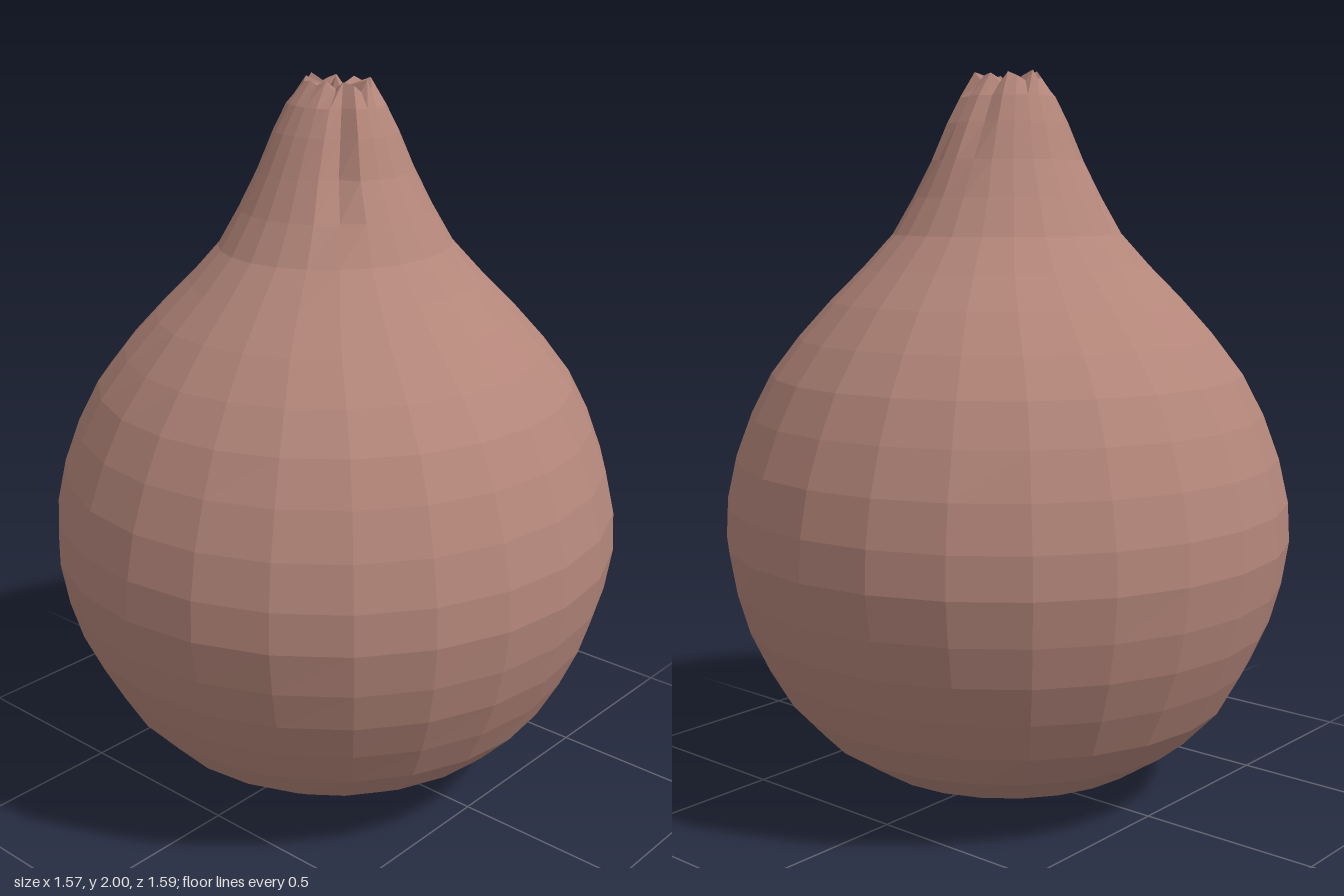
import * as THREE from 'three';

const SIDES = 24;

// Rings from base to tip: [height, half width in x, half depth in z]
const RINGS = [
  [0.005, 0.13, 0.13], [0.02, 0.24, 0.24], [0.08, 0.4, 0.4], [0.17, 0.535, 0.535],
  [0.27, 0.63, 0.625], [0.38, 0.69, 0.69], [0.49, 0.738, 0.742], [0.6, 0.768, 0.775],
  [0.72, 0.786, 0.796], [0.83, 0.78, 0.79], [0.95, 0.752, 0.764], [1.07, 0.708, 0.718],
  [1.18, 0.65, 0.662], [1.28, 0.57, 0.59], [1.38, 0.475, 0.505], [1.47, 0.385, 0.415],
  [1.56, 0.308, 0.328], [1.66, 0.255, 0.265], [1.76, 0.205, 0.213], [1.86, 0.17, 0.162],
  [1.93, 0.14, 0.12], [1.982, 0.107, 0.072],
];

// Creases running down the neck: [side index, depth, lowest height]
const CREASES = [[3, 0.2, 1.6], [10, 0.16, 1.7], [13, 0.12, 1.7], [20, 0.16, 1.6]];

function surfacePoint(ring, side) {
  const [y, rx, rz] = RINGS[ring];
  const a = (side / SIDES) * Math.PI * 2;
  let k = 1;
  for (const [s, depth, low] of CREASES) {
    if (s === side && y > low) k -= depth * Math.min(1, (y - low) / 0.2);
  }
  // Uneven, puckered rim at the tip
  const rim = ring === RINGS.length - 1;
  const lift = rim ? 0.016 * Math.sin(side * 2.3) : 0;
  return [Math.sin(a) * rx * k, y + lift, Math.cos(a) * rz * k];
}

// Closed skin made from the stacked rings
function bulbGeometry() {
  const positions = [];
  const index = [];
  RINGS.forEach((_, r) => {
    for (let s = 0; s < SIDES; s++) positions.push(...surfacePoint(r, s));
  });
  const bottom = positions.length / 3;
  positions.push(0, 0, 0);
  const top = bottom + 1;
  positions.push(0, 1.965, 0);
  const last = (RINGS.length - 1) * SIDES;
  for (let s = 0; s < SIDES; s++) {
    const n = (s + 1) % SIDES;
    for (let r = 0; r < RINGS.length - 1; r++) {
      const a = r * SIDES + s, b = r * SIDES + n;
      index.push(a, b, b + SIDES, a, b + SIDES, a + SIDES);
    }
    index.push(bottom, n, s, top, last + s, last + n);
  }
  const g = new THREE.BufferGeometry();
  g.setAttribute('position', new THREE.Float32BufferAttribute(positions, 3));
  g.setIndex(index);
  g.computeVertexNormals();
  return g;
}

export function createModel() {
  const group = new THREE.Group();
  group.name = 'bulb';
  const skin = new THREE.MeshStandardMaterial({ color: 0xb4867a, flatShading: true });
  skin.name = 'dusty pink skin';

  const body = new THREE.Mesh(bulbGeometry(), skin);
  body.name = 'bulbBody';
  group.add(body);

  // Small torn flap standing up in the middle of the tip
  const flap = new THREE.Mesh(new THREE.ConeGeometry(0.045, 0.07, 5), skin);
  flap.name = 'tipFlap';
  flap.scale.z = 0.6;
  flap.position.set(0, 1.965, 0);
  group.add(flap);
  return group;
}
